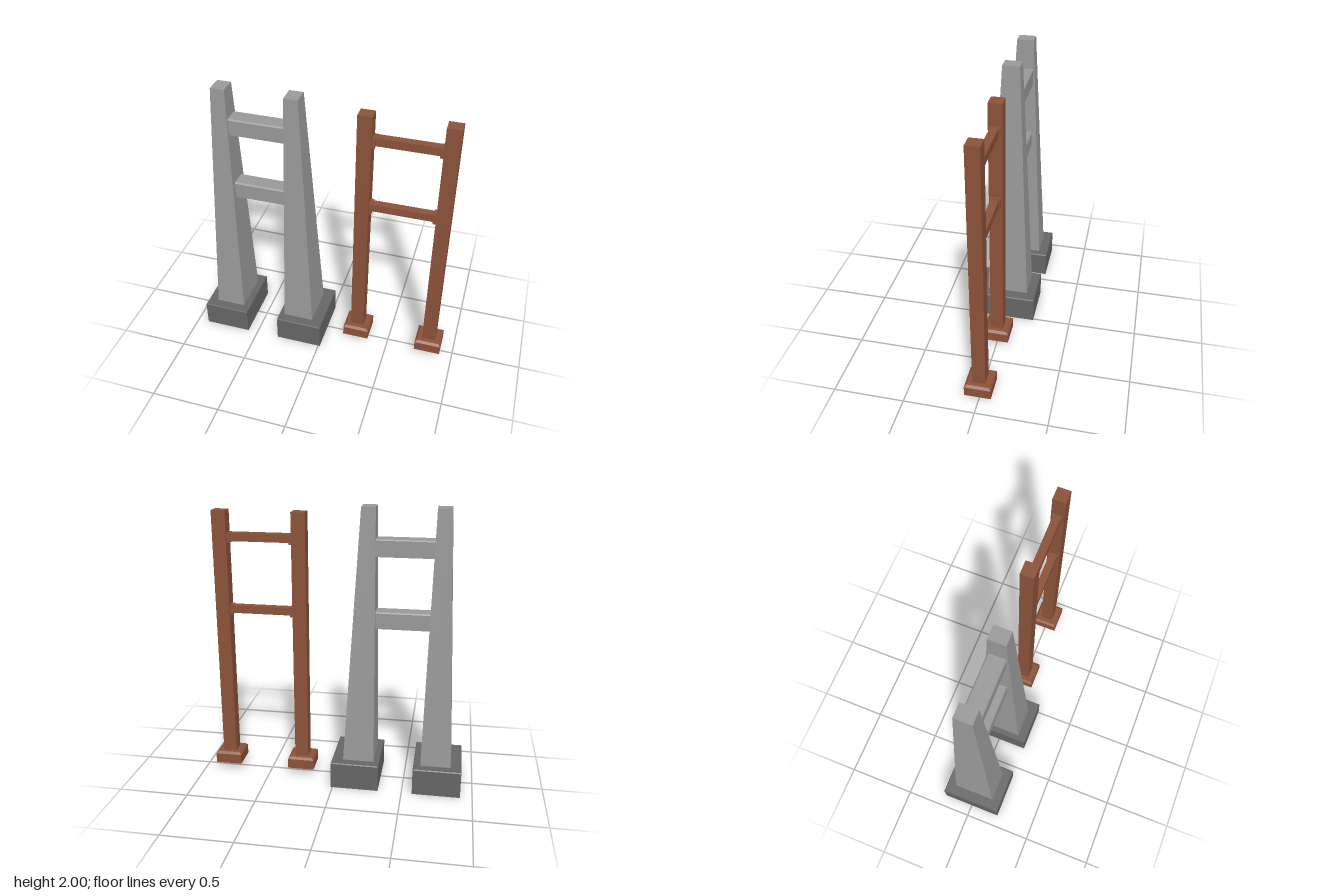
import * as THREE from 'three';

const paint = (color) => new THREE.MeshStandardMaterial({ color, flatShading: true });

// Box between two rectangles [x0, x1, z0, z1], at heights y0 and y1
function frustum(name, material, y0, y1, bottom, top = bottom) {
  const geometry = new THREE.BoxGeometry(1, 1, 1);
  const p = geometry.attributes.position;
  for (let i = 0; i < p.count; i++) {
    const r = p.getY(i) > 0 ? top : bottom;
    p.setXYZ(i, p.getX(i) > 0 ? r[1] : r[0], p.getY(i) > 0 ? y1 : y0, p.getZ(i) > 0 ? r[3] : r[2]);
  }
  geometry.computeVertexNormals();
  const mesh = new THREE.Mesh(geometry, material);
  mesh.name = name;
  return mesh;
}

export function createModel() {
  const model = new THREE.Group();
  model.name = 'twoGates';
  const stone = paint(0x999999);
  const darkStone = paint(0x666666);
  const wood = paint(0x8b5239);

  // Stone gate: tapered pillars on heavy bases
  const stoneGate = new THREE.Group();
  stoneGate.name = 'stoneGate';
  const pillars = [
    { base: [-0.915, -0.575], foot: [-0.84, -0.625], tip: [-0.762, -0.665] },
    { base: [-0.33, 0.012], foot: [-0.29, -0.068], tip: [-0.265, -0.168] },
  ];
  for (const { base, foot, tip } of pillars) {
    const block = [...base, -0.22, 0.22];
    const rim = [base[0] + 0.005, base[1] - 0.005, -0.215, 0.215];
    stoneGate.add(
      frustum('stoneBase', darkStone, 0, 0.188, block),
      frustum('stoneBaseTop', darkStone, 0.188, 0.195, block, rim),
      frustum('stonePillar', stone, 0.19, 2, [...foot, -0.153, 0.153], [...tip, -0.06, 0.06]),
    );
  }

  // Stone crossbeams with slightly eased upper edges
  for (const y of [1.17, 1.67]) {
    const beam = [-0.68, -0.25, -0.063, 0.06];
    stoneGate.add(
      frustum('stoneBeam', stone, y, y + 0.11, beam),
      frustum('stoneBeamTop', stone, y + 0.11, y + 0.118, beam, [-0.68, -0.25, -0.055, 0.052]),
    );
  }

  // Wooden gate: straight posts on small feet with sloped tops
  const woodGate = new THREE.Group();
  woodGate.name = 'woodGate';
  for (const x of [0.26, 0.814]) {
    const foot = [x - 0.096, x + 0.096, -0.093, 0.093];
    const post = [x - 0.049, x + 0.049, -0.046, 0.046];
    woodGate.add(
      frustum('woodFoot', wood, 0.058, 0.13, foot),
      frustum('woodFootTop', wood, 0.13, 0.145, foot, [x - 0.08, x + 0.08, -0.077, 0.077]),
      frustum('woodPost', wood, 0.13, 1.95, post),
    );
  }

  // Wooden rails with a collar at each end
  for (const { y0, y1, c0, c1 } of [
    { y0: 1.225, y1: 1.28, c0: 1.213, c1: 1.285 },
    { y0: 1.738, y1: 1.797, c0: 1.727, c1: 1.795 },
  ]) {
    woodGate.add(frustum('woodRail', wood, y0, y1, [0.3, 0.775, -0.027, 0.027]));
    for (const [x0, x1] of [[0.3, 0.33], [0.744, 0.775]]) {
      woodGate.add(frustum('railCollar', wood, c0, c1, [x0, x1, -0.035, 0.035]));
    }
  }

  model.add(stoneGate, woodGate);
  return model;
}
